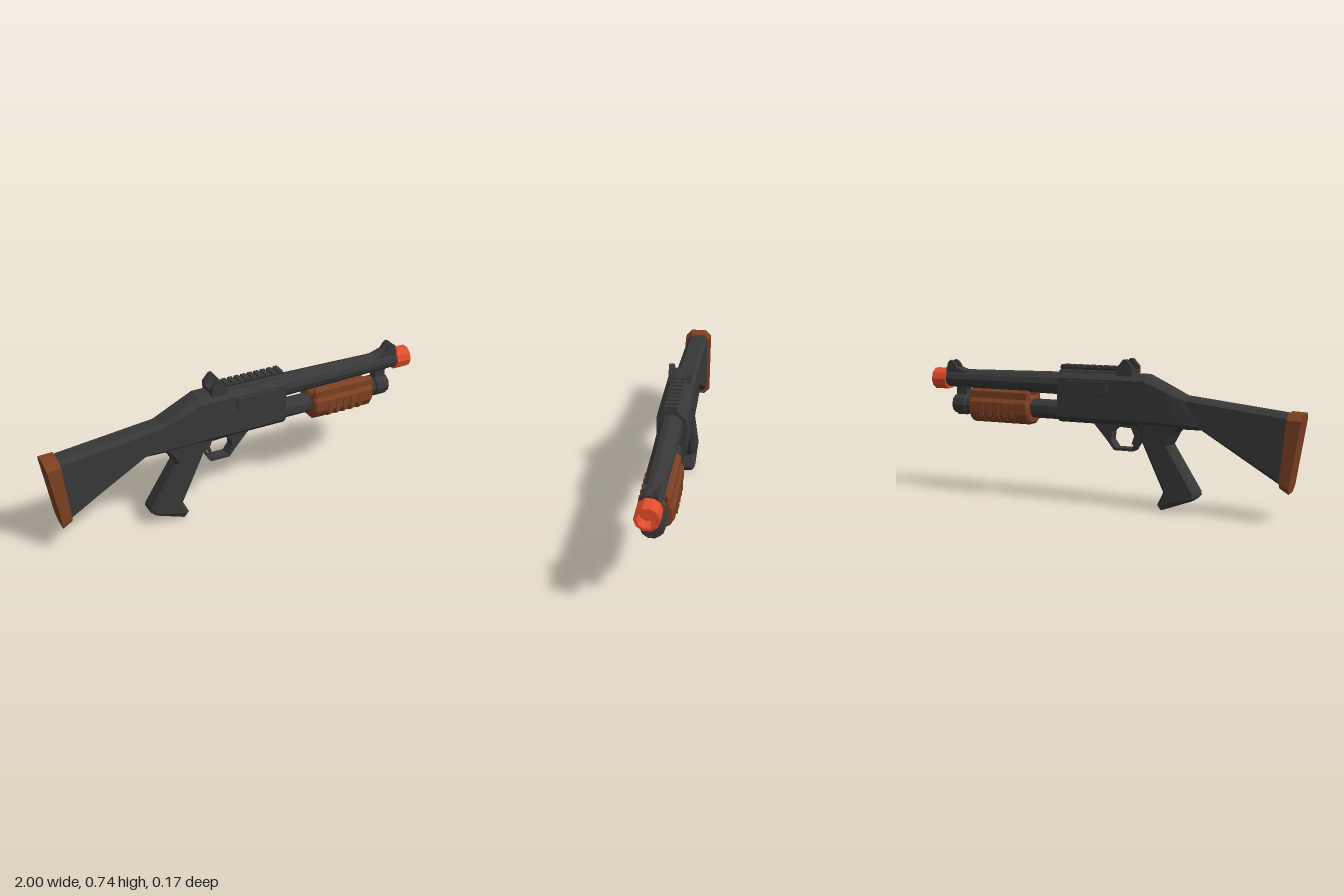
import * as THREE from 'three';

const charcoal = new THREE.MeshStandardMaterial({ color: 0x383838 });
charcoal.name = 'charcoal';
const brown = new THREE.MeshStandardMaterial({ color: 0x7d4022 });
brown.name = 'brown';
const orange = new THREE.MeshStandardMaterial({ color: 0xe34d2c });
orange.name = 'orange';

// Faceted copy of a geometry
function flat(geo) {
  const g = geo.index ? geo.toNonIndexed() : geo;
  g.computeVertexNormals();
  return g;
}

// Chamfered box section swept through stations [ax, ay, bx, by, halfWidth, chamfer]
function loft(stations) {
  const pos = [], idx = [], n = 8;
  for (const [ax, ay, bx, by, w, c] of stations) {
    const len = Math.hypot(bx - ax, by - ay), k = c / len, v = w - c;
    const ring = [[1, -v], [1, v], [1 - k, w], [k, w], [0, v], [0, -v], [k, -w], [1 - k, -w]];
    for (const [t, z] of ring) pos.push(ax + (bx - ax) * t, ay + (by - ay) * t, z);
  }
  const last = (stations.length - 1) * n;
  for (let s = 0; s < last; s += n) {
    for (let j = 0; j < n; j++) {
      const a = s + j, b = s + (j + 1) % n;
      idx.push(a, b, b + n, a, b + n, a + n);
    }
  }
  for (let j = 1; j < n - 1; j++) idx.push(0, j + 1, j, last, last + j, last + j + 1);
  const g = new THREE.BufferGeometry();
  g.setAttribute('position', new THREE.Float32BufferAttribute(pos, 3));
  g.setIndex(idx);
  return flat(g);
}

const shapeOf = (pts) => new THREE.Shape(pts.map(([x, y]) => new THREE.Vector2(x, y)));

// Side outline given thickness along z, centred on z
function plate(pts, z, thick, hole, bevel = 0) {
  const s = shapeOf(pts);
  if (hole) s.holes.push(new THREE.Path(hole.map(([x, y]) => new THREE.Vector2(x, y))));
  const g = new THREE.ExtrudeGeometry(s, {
    depth: thick - 2 * bevel, bevelEnabled: bevel > 0, bevelSize: bevel,
    bevelThickness: bevel, bevelOffset: -bevel, bevelSegments: 1,
  });
  g.translate(0, 0, z - thick / 2 + bevel);
  return flat(g);
}

// Mirrored section [z, y] swept along x
function bar(half, x0, x1, bevel) {
  const pts = [...half, ...half.slice().reverse().map(([z, y]) => [-z, y])];
  const g = new THREE.ExtrudeGeometry(shapeOf(pts), {
    depth: x1 - x0 - 2 * bevel, bevelEnabled: bevel > 0, bevelSize: bevel,
    bevelThickness: bevel, bevelOffset: -bevel, bevelSegments: 1,
  });
  g.rotateY(Math.PI / 2).translate(x0 + bevel, 0, 0);
  return flat(g);
}

// Round part along x from a profile of [radius, x]
function turned(profile, y, sides) {
  const g = new THREE.LatheGeometry(profile.map(([r, x]) => new THREE.Vector2(r, x)), sides);
  g.rotateZ(-Math.PI / 2).translate(0, y, 0);
  return flat(g);
}

function box(x0, x1, y0, y1, z, depth) {
  return new THREE.BoxGeometry(x1 - x0, y1 - y0, depth).translate((x0 + x1) / 2, (y0 + y1) / 2, z);
}

export function createModel() {
  const model = new THREE.Group();
  model.name = 'toyPumpBlaster';
  const add = (name, geo, mat = charcoal) => {
    const m = new THREE.Mesh(geo, mat);
    m.name = name;
    model.add(m);
  };

  // Stock and receiver in one sweep
  add('stockAndReceiver', loft([
    [-0.90, 0.18, -0.935, 0.515, 0.055, 0.02],
    [-0.51, 0.414, -0.42, 0.572, 0.055, 0.02],
    [-0.40, 0.414, -0.34, 0.61, 0.066, 0.025],
    [-0.24, 0.415, -0.22, 0.667, 0.07, 0.028],
    [0.245, 0.415, 0.245, 0.667, 0.07, 0.028],
  ]));
  add('buttPad', loft([
    [-0.94, 0.14, -1, 0.52, 0.07, 0.03],
    [-0.895, 0.168, -0.93, 0.523, 0.07, 0.03],
  ]), brown);

  // Pistol grip with flared foot
  add('grip', loft([
    [-0.42, 0.43, -0.17, 0.43, 0.055, 0.02],
    [-0.385, 0.395, -0.19, 0.38, 0.053, 0.02],
    [-0.35, 0.33, -0.205, 0.33, 0.052, 0.02],
    [-0.49, 0.105, -0.317, 0.095, 0.056, 0.02],
    [-0.492, 0.085, -0.286, 0.03, 0.057, 0.02],
    [-0.475, 0.068, -0.303, 0.003, 0.045, 0.012],
  ]));

  // Trigger and guard
  add('triggerGuard', plate(
    [[-0.22, 0.43], [-0.195, 0.35], [-0.155, 0.285], [-0.05, 0.285], [-0.015, 0.33], [0.065, 0.42], [0.06, 0.43]],
    0, 0.06,
    [[-0.165, 0.40], [-0.18, 0.35], [-0.142, 0.298], [-0.06, 0.298], [-0.034, 0.335], [-0.04, 0.38], [-0.07, 0.405]],
  ));
  add('trigger', plate(
    [[-0.165, 0.41], [-0.172, 0.36], [-0.15, 0.315], [-0.138, 0.318], [-0.152, 0.36], [-0.13, 0.41]], 0, 0.025));

  // Side panels
  for (const s of [1, -1]) {
    add('portPanel', plate(
      [[-0.03, 0.575], [-0.01, 0.555], [0.19, 0.555], [0.21, 0.575], [0.21, 0.615], [0.195, 0.63], [-0.03, 0.63]],
      s * 0.07, 0.008, null, 0.003));
  }

  // Top rail with teeth
  add('rail', bar([[0.045, 0.655], [0.04, 0.675], [0.025, 0.68], [0.03, 0.693]], -0.12, 0.245, 0));
  for (let i = 0; i < 9; i++) {
    const x = -0.07 + i * 0.036;
    add('railTooth', box(x, x + 0.024, 0.69, 0.702, 0, 0.06));
  }

  // Rear sight
  add('rearSightBase', box(-0.155, -0.075, 0.66, 0.69, 0, 0.11));
  for (const s of [1, -1]) {
    add('rearSightEar', plate(
      [[-0.155, 0.67], [-0.155, 0.705], [-0.122, 0.742], [-0.108, 0.74], [-0.08, 0.705], [-0.07, 0.67]],
      s * 0.043, 0.026));
  }

  // Barrel and tip
  add('barrel', turned([[0, 0.2], [0.06, 0.2], [0.058, 0.28], [0.047, 0.93], [0, 0.93]], 0.605, 12));
  add('muzzleTip', turned(
    [[0.04, 0.92], [0.057, 0.92], [0.057, 1], [0.044, 1], [0.042, 0.95], [0, 0.95]], 0.601, 10), orange);

  // Front sight
  add('frontSightBase', plate(
    [[0.79, 0.64], [0.86, 0.662], [0.92, 0.665], [0.92, 0.62], [0.79, 0.62]], 0, 0.07));
  for (const s of [1, -1]) {
    add('frontSightEar', plate(
      [[0.85, 0.65], [0.876, 0.69], [0.895, 0.702], [0.912, 0.69], [0.92, 0.65]], s * 0.023, 0.018));
  }

  // Magazine tube, end cap and barrel bracket
  add('magazineTube', turned([[0, 0.2], [0.05, 0.2], [0.05, 0.78], [0, 0.78]], 0.468, 12));
  add('tubeCap', turned(
    [[0, 0.75], [0.05, 0.75], [0.05, 0.8], [0.058, 0.805], [0.058, 0.862], [0.05, 0.866], [0.05, 0.88], [0, 0.88]],
    0.469, 10));
  add('barrelBracket', box(0.805, 0.865, 0.5, 0.58, 0, 0.045));
  for (const s of [1, -1]) add('actionBar', box(0.24, 0.43, 0.455, 0.49, s * 0.048, 0.012));

  // Pump grip with raised ribs
  add('pumpGrip', bar([
    [0.032, 0.385], [0.062, 0.402], [0.083, 0.44], [0.083, 0.495], [0.069, 0.515],
    [0.069, 0.55], [0.058, 0.561], [0.042, 0.561], [0.036, 0.53],
  ], 0.41, 0.762, 0.012), brown);
  for (const s of [1, -1]) {
    for (let i = 0; i < 5; i++) {
      const x = 0.5 + i * 0.045, w = 0.012;
      add('pumpRib', plate(
        [[x - w, 0.43], [x - w / 2, 0.42], [x + w / 2, 0.42], [x + w, 0.43],
          [x + w, 0.485], [x + w / 2, 0.495], [x - w / 2, 0.495], [x - w, 0.485]], s * 0.08, 0.014), brown);
      // Lower half of each rib follows the curved underside
      const low = new THREE.BoxGeometry(0.022, 0.04, 0.008);
      low.rotateX(s * 0.505).translate(x, 0.42, s * 0.072);
      add('pumpRibLower', low, brown);
    }
  }
  return model;
}
